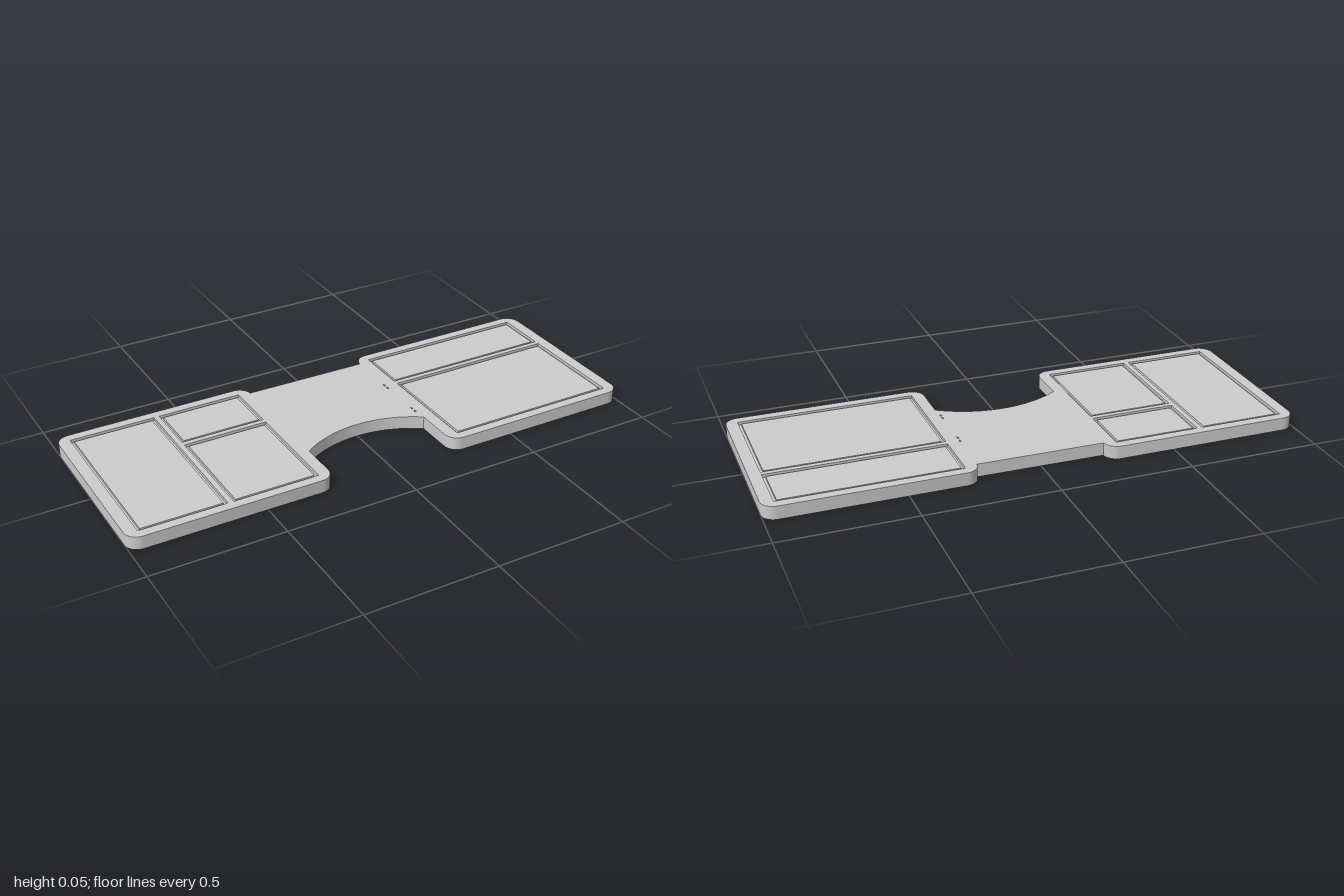
import * as THREE from 'three';
import { toCreasedNormals } from 'three/addons/utils/BufferGeometryUtils.js';

const H = 0.05;       // overall thickness
const FLOOR = 0.038;  // floor level of the pockets
const GAP = 0.012;    // groove around each inset panel

// Plan outline: shape x = world x, shape y = world z
function outline() {
  const s = new THREE.Shape();
  const X = 1, Z = 0.356, N = 0.24, B = -0.31, r = 0.05;
  const cz = 0.511, ar = 0.421;               // circle of the front cut-out
  const a = Math.acos(N / ar);
  const edge = cz - ar * Math.sin(a);
  s.moveTo(N, B);
  s.absarc(N + r, -Z + r, r, Math.PI, Math.PI * 1.5, false);
  s.absarc(X - r, -Z + r, r, -Math.PI / 2, 0, false);
  s.absarc(X - r, Z - r, r, 0, Math.PI / 2, false);
  s.absarc(N + r, Z - r, r, Math.PI / 2, Math.PI, false);
  s.lineTo(N, edge);
  s.absarc(0, cz, ar, -a, -Math.PI + a, true);
  s.lineTo(-N, edge);
  s.absarc(-N - r, Z - r, r, 0, Math.PI / 2, false);
  s.absarc(-X + r, Z - r, r, Math.PI / 2, Math.PI, false);
  s.absarc(-X + r, -Z + r, r, Math.PI, Math.PI * 1.5, false);
  s.absarc(-N - r, -Z + r, r, -Math.PI / 2, 0, false);
  s.lineTo(-N, B);
  s.closePath();
  return s;
}

function rectPath([x0, x1, z0, z1]) {
  const p = new THREE.Path();
  p.moveTo(x0, z0);
  p.lineTo(x0, z1);
  p.lineTo(x1, z1);
  p.lineTo(x1, z0);
  p.closePath();
  return p;
}

// Extrude a plan shape between two heights
function layer(shape, y0, y1) {
  const g = new THREE.ExtrudeGeometry(shape, { depth: y1 - y0, bevelEnabled: false, curveSegments: 20 });
  g.rotateX(Math.PI / 2);
  g.translate(0, y1, 0);
  return toCreasedNormals(g, 0.5);
}

export function createModel() {
  const group = new THREE.Group();
  const mat = new THREE.MeshStandardMaterial({ color: 0xcccccc });
  const add = (name, geo) => {
    const m = new THREE.Mesh(geo, mat);
    m.name = name;
    group.add(m);
    return m;
  };

  // Pockets as [x0, x1, z0, z1]
  const pockets = [
    [-0.955, -0.63, -0.32, 0.32],
    [-0.61, -0.285, -0.32, -0.11],
    [-0.61, -0.285, -0.09, 0.32],
    [0.285, 0.955, -0.32, -0.12],
    [0.285, 0.955, -0.10, 0.32],
  ];

  // Tiny slits beside the right wing
  const slits = [];
  for (const z of [-0.1, 0.1])
    for (const d of [-0.012, 0.012])
      slits.push([0.232, 0.238, z + d - 0.006, z + d + 0.006]);

  // Base and the rimmed top layer
  add('basePlate', layer(outline(), 0, FLOOR));
  const top = outline();
  top.holes.push(...pockets.map(rectPath), ...slits.map(rectPath));
  add('topRim', layer(top, FLOOR, H));

  // Inset panels, slightly below the rim
  const y1 = H - 0.003;
  pockets.forEach(([x0, x1, z0, z1], i) => {
    const g = new THREE.BoxGeometry(x1 - x0 - 2 * GAP, y1 - FLOOR, z1 - z0 - 2 * GAP);
    add('insetPanel' + (i + 1), g).position.set((x0 + x1) / 2, (y1 + FLOOR) / 2, (z0 + z1) / 2);
  });
  return group;
}
